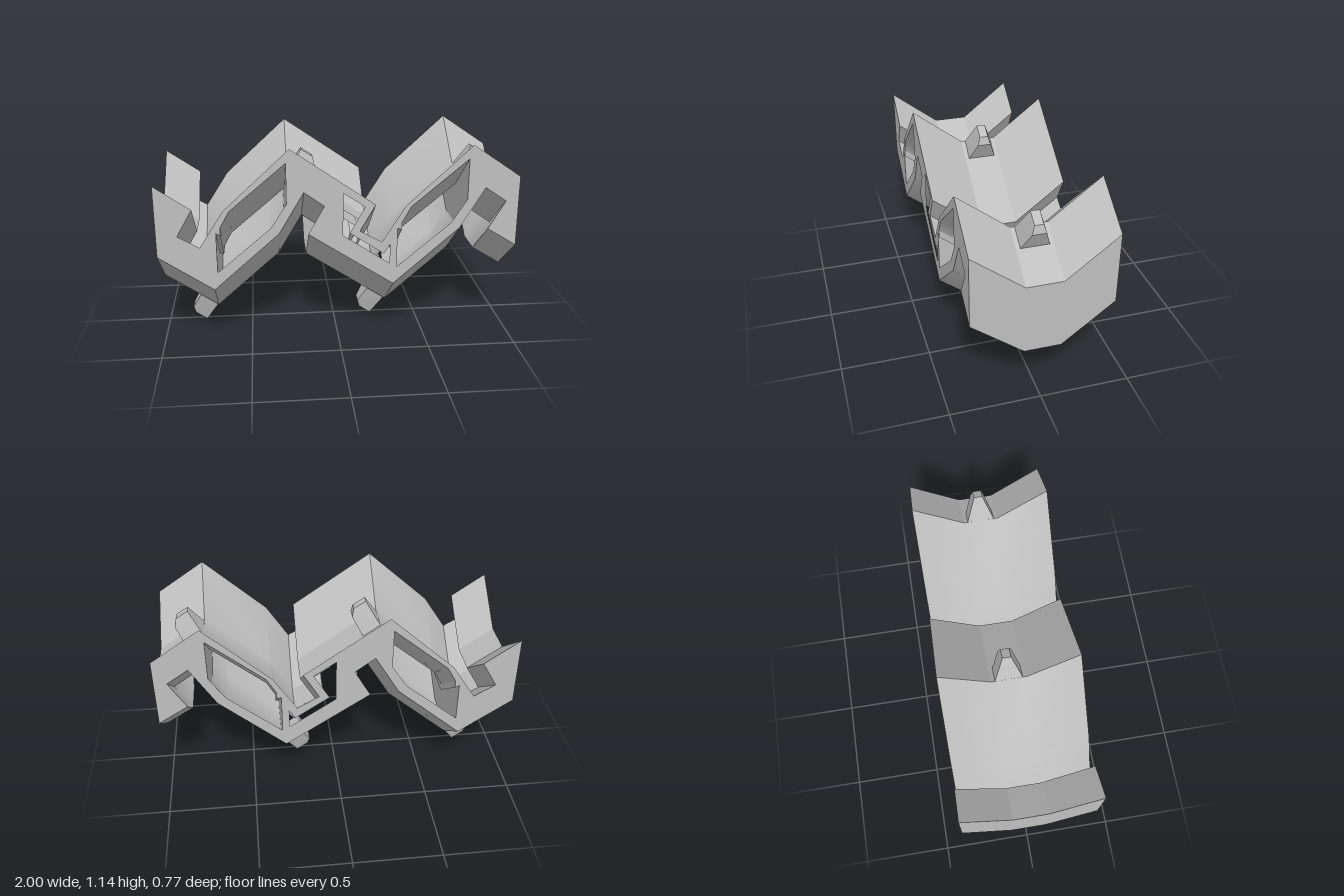
import * as THREE from 'three';
import { toCreasedNormals } from 'three/addons/utils/BufferGeometryUtils.js';
import { ConvexGeometry } from 'three/addons/geometries/ConvexGeometry.js';

const steel = new THREE.MeshStandardMaterial({ color: 0xbfbfbf });
steel.name = 'grey steel';

const vectors = (points, dx = 0) => points.map(([x, y]) => new THREE.Vector2(x + dx, y));

// Closed side profile of two interlocked links, at the outer edges
function bodyProfile() {
  const shape = new THREE.Shape(vectors([
    // upper edge, left to right
    [-1, 0.96], [-0.8, 0.822], [-0.886, 0.672], [-0.767, 0.603], [-0.634, 0.81],
    [-0.27, 1.145], [0.2, 0.822], [0.114, 0.672], [0.237, 0.603], [0.367, 0.81],
    [0.73, 1.145], [1, 0.962],
    // lower edge, right to left
    [1, 0.56], [0.835, 0.662], [0.928, 0.822], [0.81, 0.903], [0.672, 0.672], [0.305, 0.35],
    [-0.172, 0.662], [-0.083, 0.822], [-0.195, 0.903], [-0.331, 0.672], [-0.697, 0.35], [-1, 0.555],
  ]));
  // Large window in each link
  for (const dx of [0, 1]) {
    shape.holes.push(new THREE.Path(vectors([
      [-0.29, 1.069], [-0.602, 0.806], [-0.652, 0.715], [-0.652, 0.672], [-0.676, 0.683],
      [-0.676, 0.452], [-0.377, 0.704], [-0.29, 0.838],
    ], dx)));
  }
  // Slot around the hook in the middle
  shape.holes.push(new THREE.Path(vectors([
    [0.02, 0.892], [0.142, 0.811], [0.056, 0.661], [0.25, 0.533], [0.283, 0.588],
    [0.283, 0.474], [0.02, 0.648],
  ])));
  return shape;
}

// Three spans across the width; the middle span is dropped to form a V
function bodyGeometry() {
  const geometry = new THREE.ExtrudeGeometry(bodyProfile(), { depth: 3, steps: 3, bevelEnabled: false });
  const position = geometry.attributes.position;
  const stations = [-0.385, -0.1, 0.1, 0.385];
  for (let i = 0; i < position.count; i++) {
    const station = Math.round(position.getZ(i));
    position.setZ(i, stations[station]);
    if (station === 1 || station === 2) position.setY(i, position.getY(i) - 0.223);
  }
  geometry.deleteAttribute('normal');
  return toCreasedNormals(geometry, 0.54);
}

// Tapered guide tooth from [x, y, half width] corners
function tooth(name, corners, dx) {
  const points = corners.flatMap(([x, y, w]) =>
    [-w, w].map((z) => new THREE.Vector3(x + dx, y, z)));
  const mesh = new THREE.Mesh(new ConvexGeometry(points), steel);
  mesh.name = name;
  return mesh;
}

export function createModel() {
  const group = new THREE.Group();
  group.name = 'interlockingLinks';

  const body = new THREE.Mesh(bodyGeometry(), steel);
  body.name = 'linkBody';
  group.add(body);

  // One tooth above and one below each link
  const upper = [[-0.27, 0.921, 0.078], [-0.17, 0.853, 0.078], [-0.112, 0.96, 0.038],
    [-0.122, 1.008, 0.024], [-0.19, 1.052, 0.024]];
  const lower = [[-0.697, 0.128, 0.078], [-0.795, 0.195, 0.078], [-0.853, 0.09, 0.038],
    [-0.842, 0.045, 0.024], [-0.776, 0, 0.024]];
  for (const dx of [0, 1]) {
    group.add(tooth('upperTooth', upper, dx), tooth('lowerTooth', lower, dx));
  }
  return group;
}
